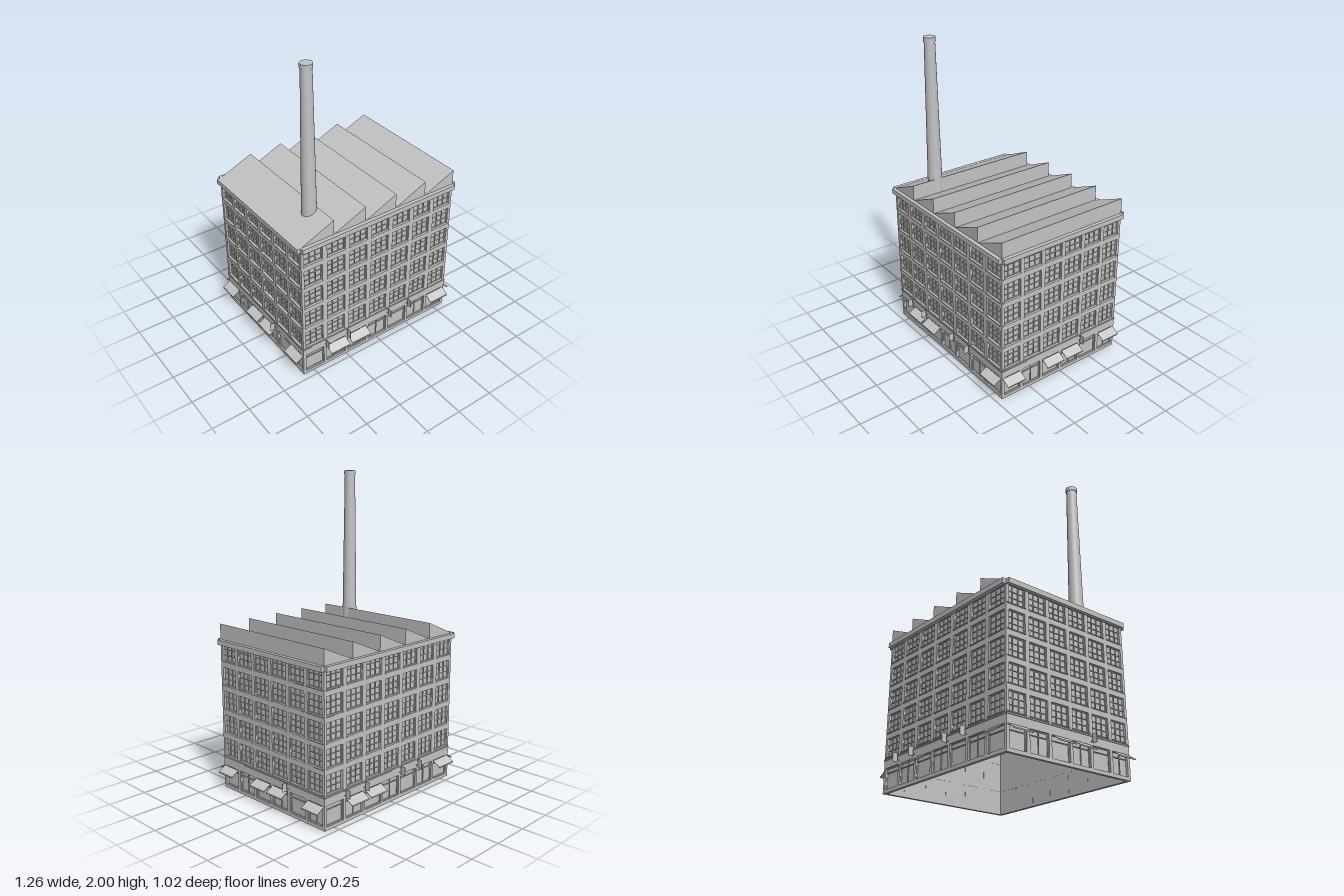
import * as THREE from 'three';

const W = 0.577, D = 0.46, H = 0.98, T = 0.02; // half width, half depth, wall height, wall thickness
const FLOORS = 5, FLOOR0 = 0.22, FLOOR_STEP = 0.156, WIN_H = 0.117;
const SHOP_Y0 = 0.022, SHOP_Y1 = 0.152;

const concrete = new THREE.MeshStandardMaterial({ color: 0xc4c4c4 });
concrete.name = 'concrete grey';

function box(parent, name, w, h, d, x, y, z) {
  const mesh = new THREE.Mesh(new THREE.BoxGeometry(w, h, d), concrete);
  mesh.name = name;
  mesh.position.set(x, y, z);
  parent.add(mesh);
  return mesh;
}

function rectPath(cx, y0, w, h) {
  const p = new THREE.Path();
  p.moveTo(cx - w / 2, y0);
  p.lineTo(cx - w / 2, y0 + h);
  p.lineTo(cx + w / 2, y0 + h);
  p.lineTo(cx + w / 2, y0);
  p.closePath();
  return p;
}

// Recessed pane with glazing bars: cols x rows lights
function glazing(parent, name, cx, y0, w, h, cols, rows) {
  const g = new THREE.Group();
  g.name = name;
  parent.add(g);
  const cy = y0 + h / 2;
  box(g, 'pane', w, h, 0.004, cx, cy, -0.017);
  for (let i = 0; i <= cols; i++) {
    const x = cx - w / 2 + 0.002 + (w - 0.004) * i / cols;
    box(g, 'verticalBar', 0.004, h, 0.006, x, cy, -0.012);
  }
  for (let j = 0; j <= rows; j++) {
    const y = y0 + 0.002 + (h - 0.004) * j / rows;
    box(g, 'horizontalBar', w, 0.004, 0.005, cx, y, -0.012);
  }
}

// Sloping canopy with a short hanging edge
function awning(parent, cx, w) {
  const s = new THREE.Shape();
  [[0, 0.15], [0.052, 0.119], [0.052, 0.111], [0.049, 0.111], [0.049, 0.117], [0, 0.146]]
    .forEach(([z, y], i) => (i ? s.lineTo(z, y) : s.moveTo(z, y)));
  const geo = new THREE.ExtrudeGeometry(s, { depth: w, bevelEnabled: false });
  geo.rotateY(-Math.PI / 2); // profile x becomes outward z
  geo.translate(cx + w / 2, 0, 0);
  const mesh = new THREE.Mesh(geo, concrete);
  mesh.name = 'awning';
  parent.add(mesh);
}

// Projecting sign plate on two small brackets
function hangingSign(parent, x) {
  box(parent, 'hangingSign', 0.004, 0.054, 0.032, x, 0.187, 0.03);
  for (const y of [0.172, 0.203]) box(parent, 'signBracket', 0.003, 0.003, 0.016, x, y, 0.008);
}

// One facade, outer face on local z = 0
function facade(name, wallHalf, half, o) {
  const g = new THREE.Group();
  g.name = name;
  const shape = new THREE.Shape();
  shape.moveTo(-wallHalf, 0);
  shape.lineTo(wallHalf, 0);
  shape.lineTo(wallHalf, H);
  shape.lineTo(-wallHalf, H);
  shape.closePath();

  for (let b = 0; b < o.bays; b++) {
    const cx = (b - (o.bays - 1) / 2) * o.pitch;
    // keep end shop fronts clear of the corners
    const edge = b === 0 ? 1 : b === o.bays - 1 ? -1 : 0;
    const sw = edge ? o.shopW - 0.01 : o.shopW;
    const sx = cx + edge * 0.003;
    shape.holes.push(rectPath(sx, SHOP_Y0, sw, SHOP_Y1 - SHOP_Y0));
    glazing(g, 'shopFront', sx, SHOP_Y0, sw, SHOP_Y1 - SHOP_Y0, b % 2 ? 2 : 1, 1);
    box(g, 'transom', sw, 0.005, 0.007, sx, 0.122, -0.012);
    if (o.awnings.includes(b)) awning(g, cx, o.shopW);

    for (let f = 0; f < FLOORS; f++) {
      const y0 = FLOOR0 + f * FLOOR_STEP;
      shape.holes.push(rectPath(cx, y0, o.winW, WIN_H));
      glazing(g, 'window', cx, y0, o.winW, WIN_H, 3, 3);
      box(g, 'windowSill', o.winW + 0.006, 0.006, 0.006, cx, y0 - 0.003, 0.002);
    }
  }

  const geo = new THREE.ExtrudeGeometry(shape, { depth: T, bevelEnabled: false });
  geo.translate(0, 0, -T);
  const wall = new THREE.Mesh(geo, concrete);
  wall.name = 'wall';
  g.add(wall);

  // Cornice, with a thin moulding below, and belt course over the shops
  box(g, 'cornice', half * 2, 0.032, 0.024, 0, 0.968, 0.012);
  box(g, 'beltCourse', half * 2, 0.008, 0.007, 0, 0.206, 0.002);
  o.signs.forEach((x) => hangingSign(g, x));
  return g;
}

// Sawtooth roof: each tooth climbs towards +x and drops vertically
function sawtoothRoof() {
  const teeth = 5, step = (2 * W) / teeth;
  const s = new THREE.Shape();
  s.moveTo(-W, H - 0.01);
  s.lineTo(W, H - 0.01);
  for (let i = teeth - 1; i >= 0; i--) {
    s.lineTo(-W + step * (i + 1), 1.083);
    s.lineTo(-W + step * i, H + 0.003);
  }
  s.closePath();
  const geo = new THREE.ExtrudeGeometry(s, { depth: 2 * D, bevelEnabled: false });
  geo.translate(0, 0, -D);
  const mesh = new THREE.Mesh(geo, concrete);
  mesh.name = 'sawtoothRoof';
  return mesh;
}

// Tapered stack with a small rim
function chimney() {
  const g = new THREE.Group();
  g.name = 'chimney';
  const add = (name, rTop, rBottom, y0, y1) => {
    const m = new THREE.Mesh(new THREE.CylinderGeometry(rTop, rBottom, y1 - y0, 24), concrete);
    m.name = name;
    m.position.y = (y0 + y1) / 2;
    g.add(m);
  };
  add('stack', 0.034, 0.048, 0.98, 1.975);
  add('rim', 0.038, 0.038, 1.972, 2.0);
  g.position.set(-0.388, 0, 0.27);
  return g;
}

export function createModel() {
  const model = new THREE.Group();
  model.name = 'factoryBuilding';

  const long = { bays: 7, pitch: 0.1645, winW: 0.13, shopW: 0.146,
    awnings: [1, 2, 6], signs: [-0.415, -0.249, 0.079, 0.245] };
  const short = { bays: 6, pitch: 0.1545, winW: 0.126, shopW: 0.134,
    awnings: [0, 2, 3, 5], signs: [0.152] };

  [['frontFacade', 0], ['backFacade', Math.PI]].forEach(([name, turn]) => {
    const f = facade(name, W, W, long);
    f.rotation.y = turn;
    f.position.z = Math.cos(turn) * D;
    model.add(f);
  });
  [['leftFacade', 1], ['rightFacade', -1]].forEach(([name, side]) => {
    const f = facade(name, D - 0.001, D, short);
    f.rotation.y = side * Math.PI / 2;
    f.position.x = side * W;
    model.add(f);
  });

  model.add(sawtoothRoof(), chimney());
  return model;
}
